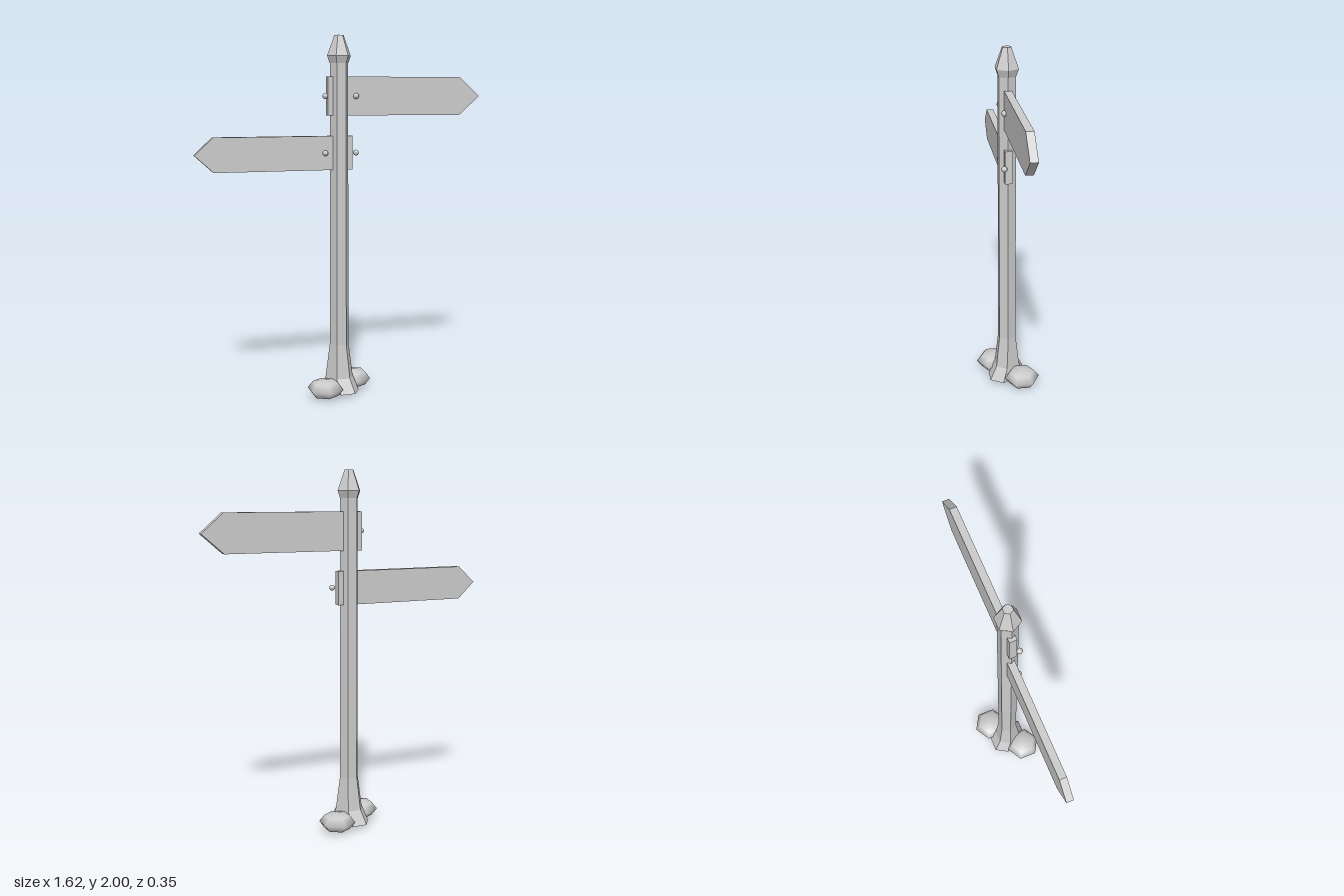
import * as THREE from 'three';

const POST_X = -0.017;

const flatMat = new THREE.MeshStandardMaterial({ color: 0xcccccc, flatShading: true });
const smoothMat = new THREE.MeshStandardMaterial({ color: 0xcccccc });

// Regular six-sided ring with corners on the x axis
function hexRing(y, r) {
  return Array.from({ length: 6 }, (_, i) => {
    const a = (i * Math.PI) / 3;
    return [r * Math.cos(a), y, r * Math.sin(a)];
  });
}

// Skewed ring given by three corners and their opposites
function skewRing(y, half) {
  const p = half.map(([x, z]) => [x, y, z]);
  return p.concat(half.map(([x, z]) => [-x, y, -z]));
}

// Closed faceted solid through a stack of rings, bottom to top
function loft(rings) {
  const pos = [];
  const tri = (a, b, c) => pos.push(...a, ...b, ...c);
  const n = rings[0].length;
  const low = rings[0], high = rings[rings.length - 1];
  for (let i = 0; i < n; i++) {
    const j = (i + 1) % n;
    for (let k = 0; k + 1 < rings.length; k++) {
      const a = rings[k], b = rings[k + 1];
      tri(a[i], b[i], a[j]);
      tri(a[j], b[i], b[j]);
    }
    tri([0, low[0][1], 0], low[i], low[j]);
    tri([0, high[0][1], 0], high[j], high[i]);
  }
  const g = new THREE.BufferGeometry();
  g.setAttribute('position', new THREE.Float32BufferAttribute(pos, 3));
  g.computeVertexNormals();
  return g;
}

// Arrow board: square end, shoulder and pointed tip
function board(name, end, shoulder, tip, y0, y1) {
  const s = new THREE.Shape();
  s.moveTo(end, y0);
  s.lineTo(shoulder, y0);
  s.lineTo(tip, (y0 + y1) / 2);
  s.lineTo(shoulder, y1);
  s.lineTo(end, y1);
  s.closePath();
  const g = new THREE.ExtrudeGeometry(s, { depth: 0.04, bevelEnabled: false });
  g.translate(0, 0, -0.02);
  const m = new THREE.Mesh(g, flatMat);
  m.name = name;
  return m;
}

export function createModel() {
  const model = new THREE.Group();
  model.name = 'signpost';

  // Hexagonal post with twisted flared foot
  const post = new THREE.Mesh(loft([
    skewRing(0.02, [[0.105, 0.035], [0.062, 0.107], [-0.02, 0.107]]),
    skewRing(0.1, [[0.077, 0.01], [0.042, 0.068], [-0.034, 0.068]]),
    hexRing(0.29, 0.055),
    hexRing(1.85, 0.052),
  ]), flatMat);
  post.name = 'post';
  post.position.x = POST_X;

  // Pointed cap with a cut-off top
  const cap = new THREE.Mesh(loft([
    hexRing(1.85, 0.052), hexRing(1.89, 0.067), hexRing(2.0, 0.026),
  ]), flatMat);
  cap.name = 'postCap';
  cap.position.x = POST_X;
  model.add(post, cap);

  // Direction boards passing through the post
  model.add(
    board('upperBoard', -0.085, 0.69, 0.81, 1.57, 1.78),
    board('lowerBoard', 0.055, -0.71, -0.81, 1.275, 1.46),
  );

  // Nail heads on the front of the boards
  const nailGeo = new THREE.SphereGeometry(0.016, 12, 8);
  for (const y of [1.675, 1.368]) {
    for (const x of [-0.102, 0.072]) {
      const nail = new THREE.Mesh(nailGeo, smoothMat);
      nail.name = 'nail';
      nail.position.set(x, y, 0.026);
      model.add(nail);
    }
  }

  // Two flattened stones at the foot
  const stoneGeo = new THREE.SphereGeometry(0.102, 6, 4);
  stoneGeo.rotateY(Math.PI / 6);
  stoneGeo.scale(1, 0.53, 1);
  for (const [x, z] of [[-0.118, 0.068], [0.089, -0.074]]) {
    const stone = new THREE.Mesh(stoneGeo, smoothMat);
    stone.name = 'stone';
    stone.position.set(x, 0.056, z);
    model.add(stone);
  }

  return model;
}
